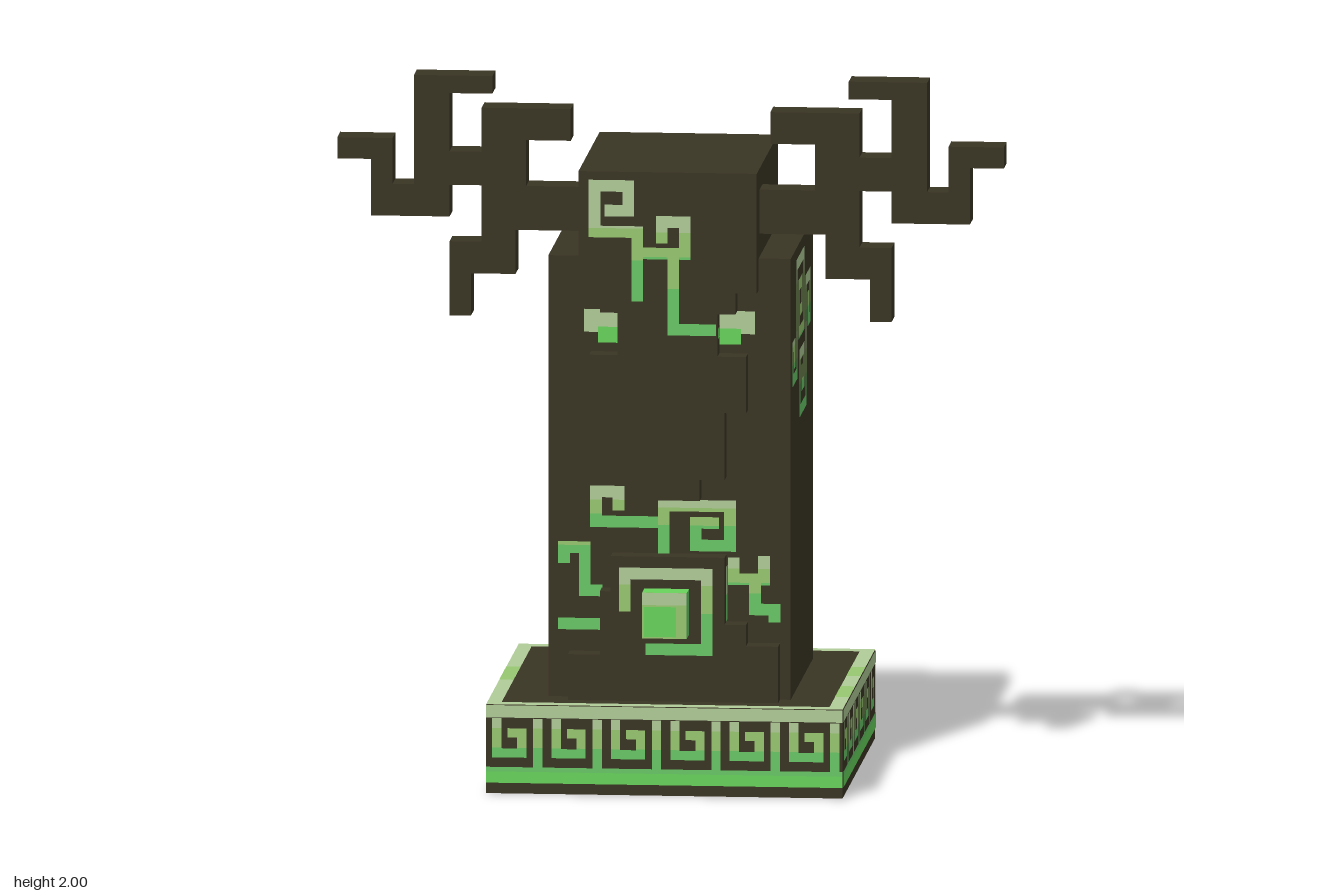
import * as THREE from 'three';
import { mergeGeometries } from 'three/addons/utils/BufferGeometryUtils.js';

const mat = (name, color) => Object.assign(new THREE.MeshStandardMaterial({ color }), { name });
const stone = mat('dark stone', 0x3a3524);
const paints = {
  pale: mat('pale green', 0xb0cc98),
  lime: mat('lime green', 0x98c870),
  green: mat('mid green', 0x68c868),
  bright: mat('bright green', 0x68d45c),
};
const LIFT = 0.002; // paint sits just above the stone

function add(parent, name, geometry, material = stone) {
  const mesh = new THREE.Mesh(geometry, material);
  mesh.name = name;
  parent.add(mesh);
  return mesh;
}

function box(x0, x1, y0, y1, z0, z1) {
  return new THREE.BoxGeometry(x1 - x0, y1 - y0, z1 - z0)
    .translate((x0 + x1) / 2, (y0 + y1) / 2, (z0 + z1) / 2);
}

function slab(points, z0, z1) {
  const shape = new THREE.Shape(points.map(([x, y]) => new THREE.Vector2(x, y)));
  return new THREE.ExtrudeGeometry(shape, { depth: z1 - z0, bevelEnabled: false }).translate(0, 0, z0);
}

// Collects flat painted rectangles on a plane facing local +z
class Painter {
  constructor() { this.parts = { pale: [], lime: [], green: [], bright: [] }; }

  rect(colour, x0, x1, y0, y1, z) {
    this.parts[colour].push(new THREE.PlaneGeometry(x1 - x0, y1 - y0)
      .translate((x0 + x1) / 2, (y0 + y1) / 2, z + LIFT));
  }

  // Square-cornered line: green below `limeY`, lime up to `paleY`, pale above
  stroke(points, z, limeY, paleY, width = 0.033) {
    const h = width / 2;
    const bands = [['green', -9, limeY], ['lime', limeY, paleY], ['pale', paleY, 9]];
    for (let i = 1; i < points.length; i++) {
      const [ax, ay] = points[i - 1], [bx, by] = points[i];
      const lo = Math.min(ay, by) - h, hi = Math.max(ay, by) + h;
      for (const [colour, b0, b1] of bands) {
        const y0 = Math.max(lo, b0), y1 = Math.min(hi, b1);
        if (y1 - y0 > 0.001) this.rect(colour, Math.min(ax, bx) - h, Math.max(ax, bx) + h, y0, y1, z);
      }
    }
  }

  build(name) {
    const group = new THREE.Group();
    group.name = name;
    for (const [colour, list] of Object.entries(this.parts)) {
      if (list.length) add(group, `${name} ${colour}`, mergeGeometries(list), paints[colour]);
    }
    return group;
  }
}

// Key-pattern band on one side of the plinth
function plinthBand() {
  const p = new Painter(), z = 0.5;
  p.rect('pale', -0.5, 0.5, 0.215, 0.25, z);
  p.rect('bright', -0.5, 0.5, 0.03, 0.062, z);
  for (let i = 0; i < 6; i++) {
    const x = -0.5 + i / 6;
    const shift = (pts) => pts.map(([u, y]) => [x + u, y]);
    p.stroke(shift([[0.03, 0.2], [0.03, 0.115], [0.1, 0.115], [0.1, 0.172], [0.073, 0.172]]), z, 0.13, 0.185, 0.026);
    p.stroke(shift([[0.145, 0.075], [0.145, 0.2]]), z, 0.13, 0.185, 0.026);
    p.rect('green', x, x + 1 / 6, 0.062, 0.075, z);
  }
  return p.build('plinthBand');
}

// Linked spirals on one side of the pillar
function pillarSpirals() {
  const p = new Painter(), z = 0.34;
  p.stroke([[-0.063, 1.31], [-0.016, 1.31], [-0.016, 1.385], [-0.11, 1.385], [-0.11, 1.25], [0.042, 1.25],
    [0.042, 1.453], [-0.175, 1.453], [-0.175, 1.26]], z, 1.24, 1.4);
  p.stroke([[-0.175, 1.25], [-0.175, 1.146], [-0.296, 1.146], [-0.296, 1.24], [-0.238, 1.24], [-0.238, 1.19]], z, 1.19, 1.24);
  p.stroke([[0.175, 1.305], [0.175, 1.24], [0.233, 1.24], [0.233, 1.363], [0.106, 1.363], [0.106, 1.25]], z, 1.28, 1.34);
  p.stroke([[0.106, 1.23], [0.106, 1.024], [-0.08, 1.024], [-0.08, 1.183], [0.042, 1.183], [0.042, 1.088],
    [-0.02, 1.088], [-0.02, 1.13]], z, 1.1, 1.17);
  return p.build('pillarSpirals');
}

// Painted lines, eyes and spirals of the front
function frontPaint() {
  const p = new Painter(), mask = 0.4, wall = 0.34;
  // Forehead
  p.stroke([[-0.16, 1.64], [-0.11, 1.64], [-0.11, 1.71], [-0.205, 1.71], [-0.205, 1.58], [-0.085, 1.58],
    [-0.085, 1.4]], mask, 1.5, 1.59);
  p.stroke([[-0.016, 1.565], [-0.016, 1.61], [0.048, 1.61], [0.048, 1.52], [-0.07, 1.52]], mask, 1.51, 1.58);
  p.stroke([[0.016, 1.51], [0.016, 1.305], [0.12, 1.305]], mask, 1.42, 1.6);
  // Eyes
  for (const s of [-1, 1]) {
    const span = (a, b) => (s > 0 ? [a, b] : [-b, -a]);
    p.rect('pale', ...span(0.14, 0.24), 1.3, 1.35, wall);
    p.rect('pale', ...span(0.2, 0.24), 1.285, 1.3, wall);
    p.rect('bright', ...span(0.14, 0.2), 1.255, 1.3, wall);
  }
  // Lines across the waist
  p.stroke([[-0.143, 0.796], [-0.143, 0.833], [-0.206, 0.833], [-0.206, 0.748], [-0.016, 0.748]], wall, 0.77, 0.81);
  p.stroke([[-0.016, 0.675], [-0.016, 0.796], [0.17, 0.796], [0.17, 0.684], [0.074, 0.684], [0.074, 0.748],
    [0.122, 0.748]], wall, 0.74, 0.79);
  // Small hooks at both sides
  p.stroke([[-0.296, 0.645], [-0.296, 0.674], [-0.238, 0.674], [-0.238, 0.552], [-0.205, 0.552]], wall, 0.68, 0.7);
  p.stroke([[-0.296, 0.457], [-0.205, 0.457]], wall, 0.6, 0.7);
  p.stroke([[0.265, 0.64], [0.265, 0.59], [0.18, 0.59], [0.18, 0.635]], wall, 0.58, 0.62);
  p.stroke([[0.24, 0.59], [0.24, 0.505], [0.295, 0.505], [0.295, 0.485]], wall, 0.55, 0.62);
  // Spiral around the gem
  p.stroke([[-0.12, 0.52], [-0.12, 0.612], [0.11, 0.612], [0.11, 0.398], [-0.045, 0.398]], mask, 0.5, 0.58);
  // Gem face
  p.rect('bright', -0.06, 0.03, 0.445, 0.53, 0.47);
  p.rect('pale', -0.065, 0.06, 0.535, 0.57, 0.47);
  return p.build('frontPaint');
}

// Paint on the narrow edges of the front slabs, for one side
function edgePaint(side) {
  const p = new Painter();
  const z0 = side > 0 ? -0.4 : 0.34;
  p.rect('bright', z0, z0 + 0.06, 1.28, 1.31, 0.14);
  if (side > 0) {
    p.rect('pale', -0.375, -0.34, 0.55, 0.63, 0.16);
    p.rect('green', -0.375, -0.34, 0.475, 0.55, 0.16);
  }
  const g = p.build('edgePaint');
  g.rotation.y = side * Math.PI / 2;
  return g;
}

function squareFrame(name, half, width, z, patches) {
  const p = new Painter();
  p.stroke([[-half, -half], [half, -half], [half, half], [-half, half], [-half, -half]], z, -8, -7, width);
  for (const r of patches) p.rect('lime', ...r, z + 0.001);
  return p.build(name);
}

const antlerOutline = [
  [0.25, 1.565], [0.435, 1.565], [0.435, 1.44], [0.56, 1.44], [0.56, 1.32], [0.62, 1.32], [0.62, 1.53], [0.53, 1.53],
  [0.53, 1.69], [0.62, 1.69], [0.62, 1.6], [0.84, 1.6], [0.84, 1.76], [0.935, 1.76], [0.935, 1.82], [0.78, 1.82],
  [0.78, 1.69], [0.72, 1.69], [0.72, 2], [0.5, 2], [0.5, 1.95], [0.62, 1.95], [0.62, 1.785], [0.53, 1.785],
  [0.53, 1.91], [0.28, 1.91], [0.28, 1.82], [0.405, 1.82], [0.405, 1.69], [0.25, 1.69],
];

export function createModel() {
  const model = new THREE.Group();
  model.name = 'carvedTotem';

  // Plinth, pillar and head block
  add(model, 'plinth', box(-0.5, 0.5, 0, 0.25, -0.5, 0.5));
  add(model, 'pillar', box(-0.34, 0.34, 0.25, 1.5, -0.34, 0.34));
  add(model, 'headBlock', box(-0.25, 0.25, 1.5, 1.75, -0.25, 0.4));

  // Stepped face mask, mirrored about the middle
  const half = [[0.09, 0.82], [0.09, 0.88], [0.16, 0.88], [0.16, 1.07], [0.22, 1.07], [0.22, 1.23], [0.14, 1.23],
    [0.14, 1.35], [0.19, 1.35], [0.19, 1.41], [0.25, 1.41], [0.25, 1.5]];
  add(model, 'faceMask', slab([...half, ...half.map(([x, y]) => [-x, y]).reverse()], 0.34, 0.4));

  // Lower slab that carries the gem
  add(model, 'lowerSlab', slab([[-0.28, 0.25], [0.31, 0.25], [0.31, 0.41], [0.22, 0.41], [0.22, 0.47], [0.16, 0.47],
    [0.16, 0.66], [-0.16, 0.66], [-0.16, 0.56], [-0.19, 0.56], [-0.19, 0.38], [-0.28, 0.38]], 0.34, 0.4));
  const { lime, green, bright } = paints;
  add(model, 'gem', box(-0.065, 0.06, 0.44, 0.57, 0.4, 0.47), [green, green, bright, green, lime, green]);

  // Antlers
  add(model, 'leftAntler', slab(antlerOutline, 0.22, 0.31));
  add(model, 'rightAntler', slab(antlerOutline.map(([x, y]) => [-x, y]).reverse(), 0.22, 0.31));

  // Painted bands and spirals
  for (let i = 0; i < 4; i++) {
    const faces = i === 0 ? [plinthBand()] : [plinthBand(), pillarSpirals()];
    for (const face of faces) {
      face.rotation.y = i * Math.PI / 2;
      model.add(face);
    }
  }
  model.add(frontPaint(), edgePaint(1), edgePaint(-1));

  // Painted borders on the top and underside of the plinth
  const rim = squareFrame('plinthRim', 0.48, 0.04, 0.25, [[-0.16, 0.03, 0.46, 0.5], [0.2, 0.31, 0.46, 0.5],
    [0.46, 0.5, 0.05, 0.2], [0.46, 0.5, -0.3, -0.12], [-0.5, -0.46, -0.1, 0.12]]);
  rim.rotation.x = -Math.PI / 2;
  const under = squareFrame('undersideBorder', 0.465, 0.012, 0, []);
  under.rotation.x = Math.PI / 2;
  model.add(rim, under);
  return model;
}
